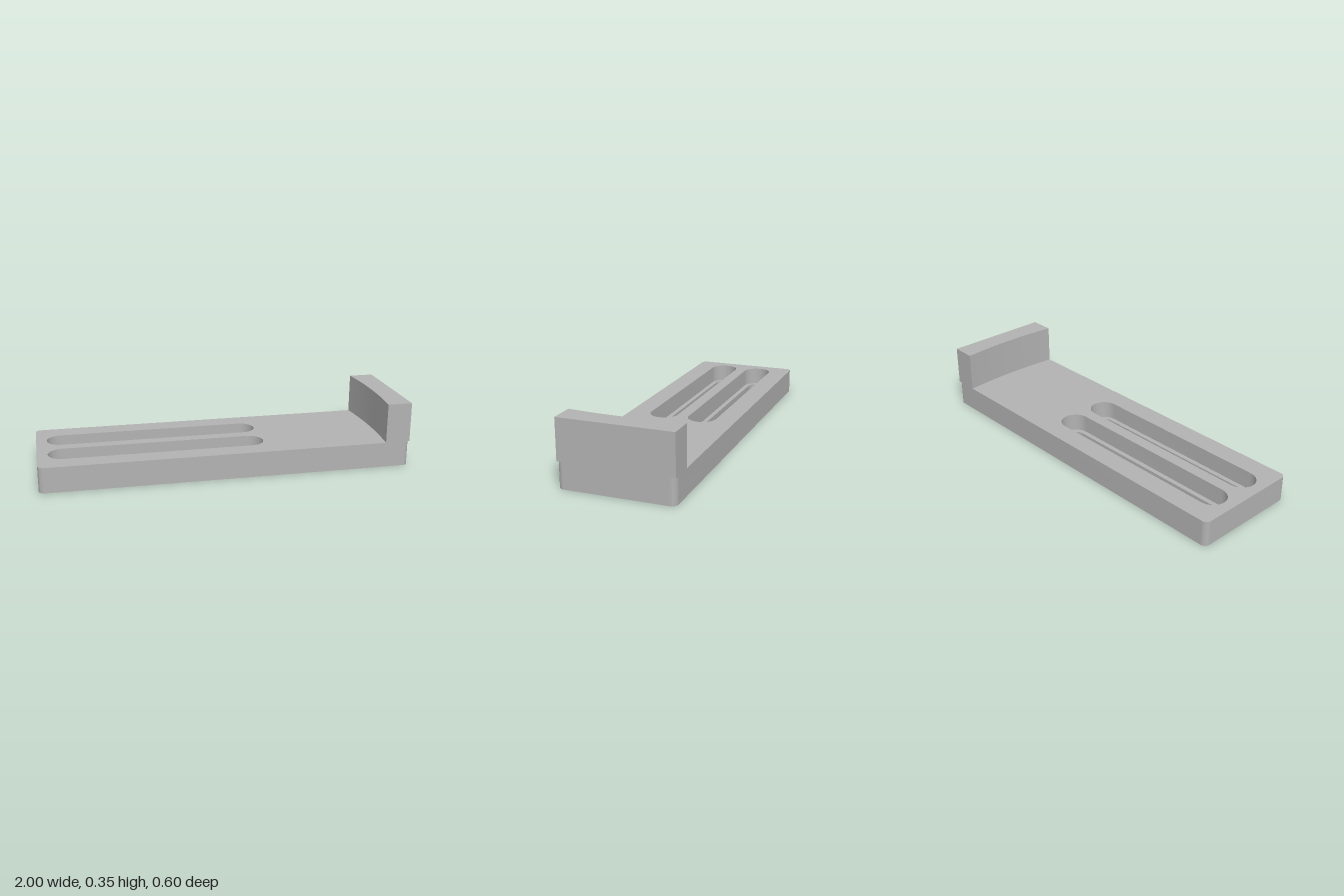
import * as THREE from 'three';
import { toCreasedNormals } from 'three/addons/utils/BufferGeometryUtils.js';

const HALF_WIDTH = 0.3, BASE_TOP = 0.138, LEDGE_TOP = 0.04, POST_TOP = 0.355;
const SLOT_START = -0.865, SLOT_END = 0.143, SLOT_Z = 0.11;

// Rounded rectangle seen from above
function plateShape(r) {
  const s = new THREE.Shape();
  const x = 1 - r, z = HALF_WIDTH - r;
  s.absarc(x, z, r, 0, Math.PI / 2);
  s.absarc(-x, z, r, Math.PI / 2, Math.PI);
  s.absarc(-x, -z, r, Math.PI, Math.PI * 1.5);
  s.absarc(x, -z, r, Math.PI * 1.5, Math.PI * 2);
  s.closePath();
  return s;
}

// Long slot with round ends
function slotPath(z, r) {
  const p = new THREE.Path();
  p.absarc(SLOT_END, z, r, -Math.PI / 2, Math.PI / 2);
  p.absarc(SLOT_START, z, r, Math.PI / 2, Math.PI * 1.5);
  p.closePath();
  return p;
}

// Extrude a plan outline upwards between two heights
function slab(name, shape, y0, y1, material) {
  const geo = new THREE.ExtrudeGeometry(shape, { depth: y1 - y0, bevelEnabled: false, curveSegments: 16 });
  geo.rotateX(-Math.PI / 2);
  geo.translate(0, y0, 0);
  const mesh = new THREE.Mesh(toCreasedNormals(geo, 0.5), material);
  mesh.name = name;
  return mesh;
}

export function createModel() {
  const group = new THREE.Group();
  group.name = 'slottedBracket';
  const metal = new THREE.MeshStandardMaterial({ color: 0xb2b2b2 });
  metal.name = 'grey metal';

  // Base in two layers: narrow slots below, wider recesses above
  const layers = [
    ['lowerPlate', 0, LEDGE_TOP, 0.052],
    ['upperPlate', LEDGE_TOP, BASE_TOP, 0.078],
  ];
  for (const [name, y0, y1, slotRadius] of layers) {
    const shape = plateShape(0.03);
    for (const side of [-1, 1]) shape.holes.push(slotPath(side * SLOT_Z, slotRadius));
    group.add(slab(name, shape, y0, y1, metal));
  }

  // Upright end stop, square corners and a shallow concave inner face
  const edge = 0.865, sagitta = 0.017;
  const radius = (HALF_WIDTH ** 2 + sagitta ** 2) / (2 * sagitta);
  const half = Math.asin(HALF_WIDTH / radius);
  const stop = new THREE.Shape();
  stop.moveTo(1, -HALF_WIDTH);
  stop.lineTo(1, HALF_WIDTH);
  stop.lineTo(edge, HALF_WIDTH);
  stop.absarc(edge + sagitta - radius, 0, radius, half, -half, true);
  stop.closePath();
  group.add(slab('endStop', stop, BASE_TOP, POST_TOP, metal));

  return group;
}
